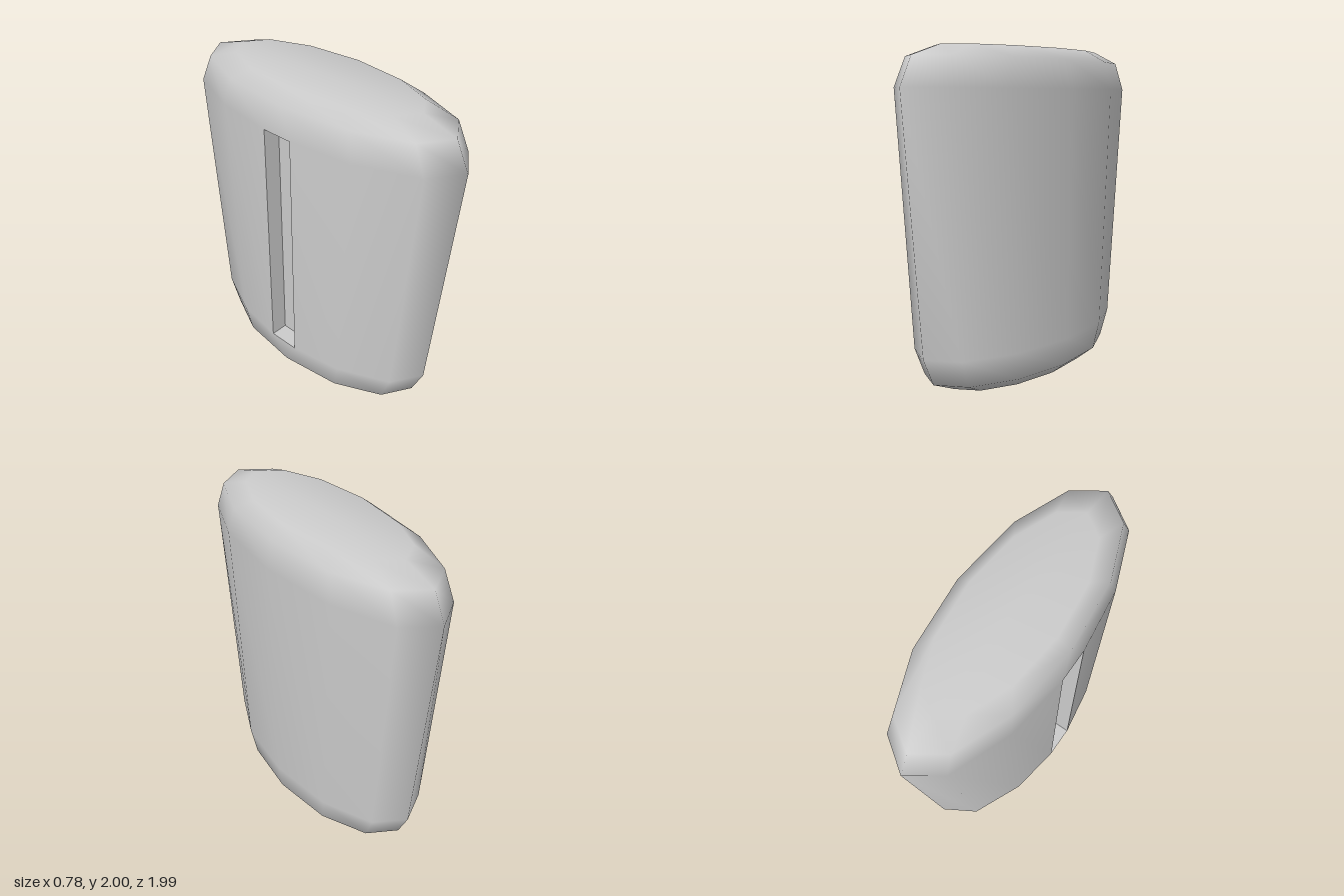
import * as THREE from 'three';
import { mergeVertices } from 'three/addons/utils/BufferGeometryUtils.js';

// Cross-sections from bottom to top: height, half width (x), half length (z), half slot width
const RINGS = [
  [0.004, 0.27, 0.6, 0],
  [0.077, 0.36, 0.772, 0],
  [0.245, 0.382, 0.85, 0.1],
  [1.76, 0.387, 0.995, 0.1],
  [1.93, 0.36, 0.91, 0],
  [1.998, 0.275, 0.69, 0],
];
const SLOT_DEPTH = 0.11;

// Twelve-sided ellipse whose -x corner is split into two points at the slot edges
function ringPoints([y, hx, hz, w]) {
  const pts = [];
  for (let i = 0; i < 12; i++) {
    if (i === 6) {
      pts.push([-hx, y, w], [-hx, y, -w]);
    } else {
      const t = (i / 12) * Math.PI * 2;
      pts.push([Math.cos(t) * hx, y, Math.sin(t) * hz]);
    }
  }
  return pts;
}

function buildGeometry(points, index) {
  const g = new THREE.BufferGeometry();
  g.setAttribute('position', new THREE.Float32BufferAttribute(points.flat(), 3));
  g.setIndex(index);
  return g;
}

// Tapered body with bevelled top and bottom, open at the slot
function bodyGeometry(rings) {
  const n = rings[0].length;
  const points = rings.flat();
  const index = [];
  for (let r = 0; r < rings.length - 1; r++) {
    for (let i = 0; i < n; i++) {
      if (r === 2 && i === 6) continue; // slot opening
      const a = r * n + i, b = r * n + ((i + 1) % n);
      if (rings[r][i].join() !== rings[r][(i + 1) % n].join()) index.push(a, b + n, b);
      if (rings[r + 1][i].join() !== rings[r + 1][(i + 1) % n].join()) index.push(a, a + n, b + n);
    }
  }
  // end caps
  const last = (rings.length - 1) * n;
  const bottom = points.push([0, RINGS[0][0], 0]) - 1;
  const top = points.push([0, RINGS[RINGS.length - 1][0], 0]) - 1;
  for (let i = 0; i < n; i++) {
    const j = (i + 1) % n;
    if (i === 6) continue; // both points coincide here
    index.push(bottom, i, j, top, last + j, last + i);
  }
  const g = mergeVertices(buildGeometry(points, index));
  g.computeVertexNormals();
  return g;
}

// Recessed walls, floor and back of the slot
function slotGeometry(rings) {
  const outer = [rings[2][7], rings[2][6], rings[3][6], rings[3][7]];
  const inner = outer.map(([x, y, z]) => [x + SLOT_DEPTH, y, z]);
  const index = [4, 5, 6, 4, 6, 7];
  for (let i = 0; i < 4; i++) {
    const j = (i + 1) % 4;
    index.push(i, j, j + 4, i, j + 4, i + 4);
  }
  const g = buildGeometry([...outer, ...inner], index).toNonIndexed();
  g.computeVertexNormals();
  return g;
}

export function createModel() {
  const model = new THREE.Group();
  model.name = 'slottedBlock';
  const rings = RINGS.map(ringPoints);
  const parts = { body: bodyGeometry(rings), slot: slotGeometry(rings) };
  for (const [name, geometry] of Object.entries(parts)) {
    const mesh = new THREE.Mesh(
      geometry.translate(0, -1, 0),
      new THREE.MeshStandardMaterial({ color: 0xcccccc, flatShading: name === 'slot' })
    );
    mesh.name = name;
    mesh.position.y = 1;
    mesh.rotation.z = -0.007; // slight lean
    model.add(mesh);
  }
  return model;
}
